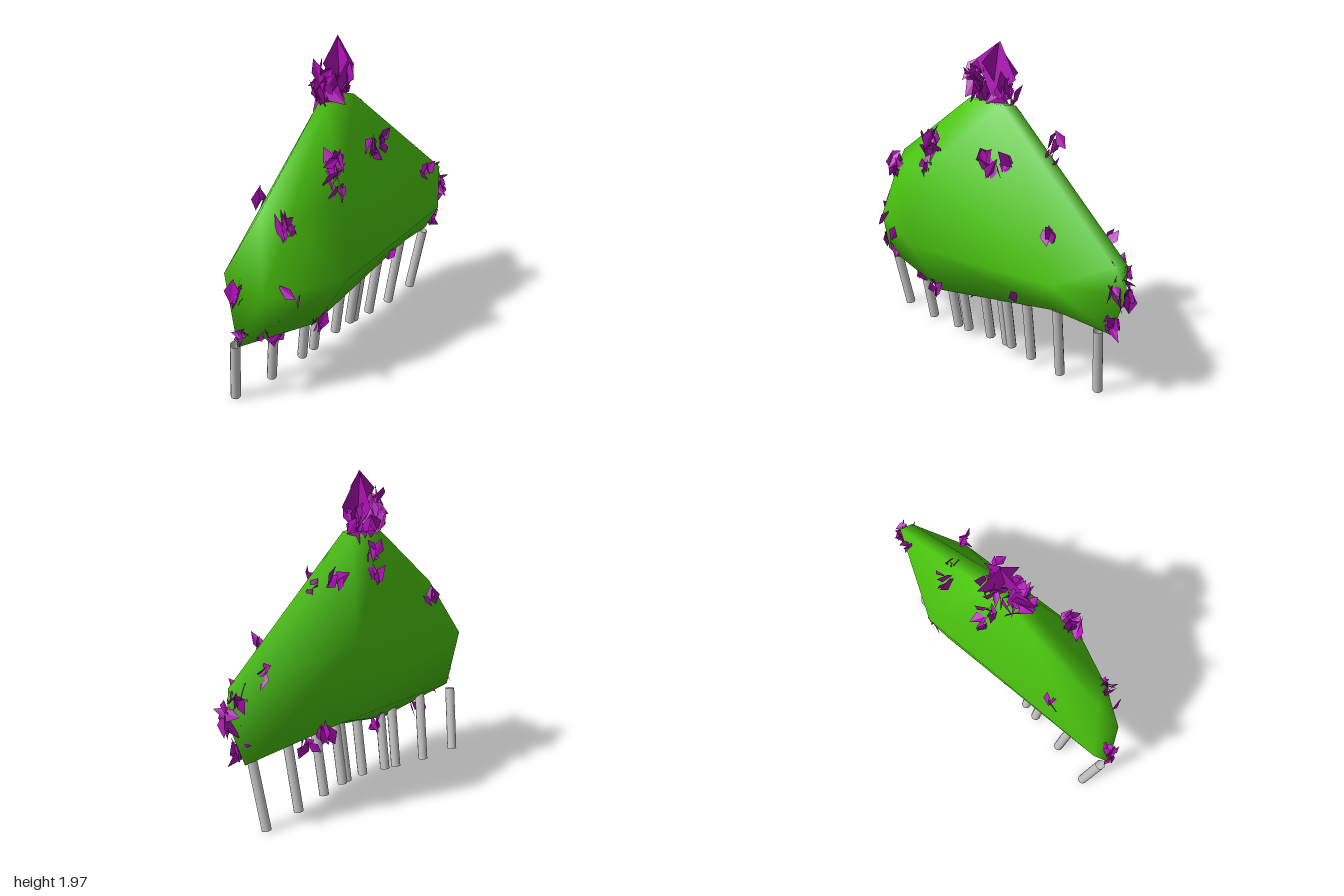
import * as THREE from 'three';
import { ConvexGeometry } from 'three/addons/geometries/ConvexGeometry.js';
import { mergeVertices } from 'three/addons/utils/BufferGeometryUtils.js';

const V = (x, y, z) => new THREE.Vector3(x, y, z);
const green = new THREE.MeshStandardMaterial({ color: 0x4cc80f, side: THREE.DoubleSide });
const purple = new THREE.MeshStandardMaterial({ color: 0xb010b8, side: THREE.DoubleSide });
const grey = new THREE.MeshStandardMaterial({ color: 0xcccccc, side: THREE.DoubleSide });

function seeded(seed) {
  return () => {
    seed = (seed * 16807) % 2147483647;
    return seed / 2147483647;
  };
}
const rand = seeded(4711);
const spread = () => rand() * 2 - 1;

function named(geometry, material, name) {
  const mesh = new THREE.Mesh(geometry, material);
  mesh.name = name;
  return mesh;
}

// Faceted hull with smooth normals; one underside corner is lifted into a notch
function foliageBody() {
  const corners = [
    [-0.97, 0.43, 0.02], [-0.92, 0.83, -0.11], [-0.88, 0.74, 0.14], [-0.77, 1.18, 0.03],
    [-0.7, 1.1, 0.16], [-0.2, 1.62, 0.01], [-0.18, 1.61, -0.07], [0.05, 1.62, 0],
    [0.07, 1.6, -0.1], [-0.35, 1.2, 0.24], [-0.4, 0.72, 0.33], [-0.4, 0.33, 0.08],
    [0.62, 0.75, 0.22], [0.5, 0.34, 0.04], [0.28, 1.07, -0.34], [0.28, 0.58, -0.24],
    [0.93, 0.88, -0.06], [0.91, 0.88, 0.02], [0.96, 0.72, -0.02], [0.86, 0.43, -0.04],
  ];
  let geometry = new ConvexGeometry(corners.map((c) => V(...c)));
  geometry.deleteAttribute('normal');
  geometry = mergeVertices(geometry, 1e-4);
  const p = geometry.attributes.position;
  for (let i = 0; i < p.count; i++) {
    if (Math.abs(p.getX(i) - 0.5) < 0.01 && p.getY(i) < 0.4) p.setY(i, 0.49);
  }
  geometry.computeVertexNormals();
  return named(geometry, green, 'foliageBody');
}

// Open tube between two points
function stem(foot, head) {
  const d = head.clone().sub(foot);
  const mesh = named(new THREE.CylinderGeometry(0.03, 0.03, d.length(), 10, 1, true), grey, 'stem');
  mesh.position.copy(foot).addScaledVector(d, 0.5);
  mesh.quaternion.setFromUnitVectors(V(0, 1, 0), d.normalize());
  return mesh;
}

// Pointed four-cornered leaves as one flat-shaded surface
function leafSurface(leaves, name) {
  const points = [];
  for (const [top, right, bottom, left] of leaves) points.push(top, left, bottom, top, bottom, right);
  const geometry = new THREE.BufferGeometry().setFromPoints(points);
  geometry.computeVertexNormals();
  return named(geometry, purple, name);
}

function randomLeaf(center, size) {
  const s = size * (0.6 + 0.6 * rand());
  const turn = new THREE.Euler(spread() * 0.8, spread() * Math.PI, spread() * 0.8);
  const shape = [V(0, s, 0), V(s * 0.55, s * 0.3 * spread(), s * 0.15),
    V(0, -s, 0), V(-s * 0.55, s * 0.3 * spread(), s * 0.1)];
  return shape.map((v) => v.applyEuler(turn).add(center));
}

// Fuller clusters spread wider and carry bigger leaves
function leafCluster(x, y, z, count) {
  const r = 0.025 + 0.0022 * count;
  const leaves = Array.from({ length: count }, () =>
    randomLeaf(V(x + r * spread(), y + 1.2 * r * spread(), z + 0.7 * r * spread()), 0.06 + 0.0012 * count));
  return leafSurface(leaves, 'leafCluster');
}

export function createModel() {
  const model = new THREE.Group();
  model.add(foliageBody());

  // Row of stems: the outer ones reach lower and further back, all splay slightly
  for (const x of [-0.9, -0.63, -0.38, -0.28, -0.08, 0.06, 0.1, 0.26, 0.48, 0.75]) {
    const z = -0.04 - 0.07 * x * x;
    const y = Math.max(0.01, 0.08 - 0.12 * Math.abs(x));
    model.add(stem(V(x, y, z), V(x * 1.05, 0.52 - 0.13 * x * x, z + 0.07)));
  }

  // Crown with two large crossing leaves at the tip
  const crown = new THREE.Group();
  crown.name = 'crown';
  crown.add(leafSurface([
    [V(-0.02, 1.97, -0.06), V(0.11, 1.77, -0.05), V(-0.05, 1.64, -0.02), V(-0.18, 1.85, -0.03)],
    [V(-0.03, 1.96, -0.05), V(0.01, 1.77, -0.18), V(-0.03, 1.66, -0.08), V(-0.06, 1.86, 0.05)],
  ], 'crownLeaf'));
  crown.add(leafCluster(-0.14, 1.7, -0.04, 24), leafCluster(0.02, 1.66, -0.06, 18));
  model.add(crown);

  // Leaf clusters: centre and number of leaves
  const clusters = [
    [-0.35, 1.22, 0.22, 12], [-0.34, 1.34, 0.19, 14], [-0.69, 1.13, 0.16, 11], [0.02, 1.33, 0.14, 4],
    [0.09, 1.29, 0.15, 4], [0.18, 1.33, 0.12, 6], [0.37, 1.32, -0.05, 7], [0.3, 1.4, -0.19, 4],
    [0.56, 1, 0.16, 4], [0.76, 0.95, -0.12, 3], [0.88, 0.87, -0.04, 11], [0.94, 0.74, -0.01, 12],
    [0.88, 0.52, -0.02, 7], [-0.93, 0.74, 0, 6], [-0.95, 0.53, 0.02, 5], [-0.84, 0.49, 0.06, 5],
    [-0.66, 0.37, 0.02, 3], [-0.41, 0.36, 0.1, 6], [-0.2, 0.37, -0.04, 5], [0.44, 0.44, -0.1, 5],
    [0.42, 0.56, -0.21, 5], [-0.04, 1.5, -0.13, 6], [-0.02, 1.38, -0.19, 4], [-0.57, 1.15, -0.16, 3],
    [-0.76, 0.78, 0.2, 1], [-0.66, 0.66, 0.22, 1], [0.28, 0.56, 0.13, 1],
  ];
  for (const c of clusters) model.add(leafCluster(...c));
  return model;
}
